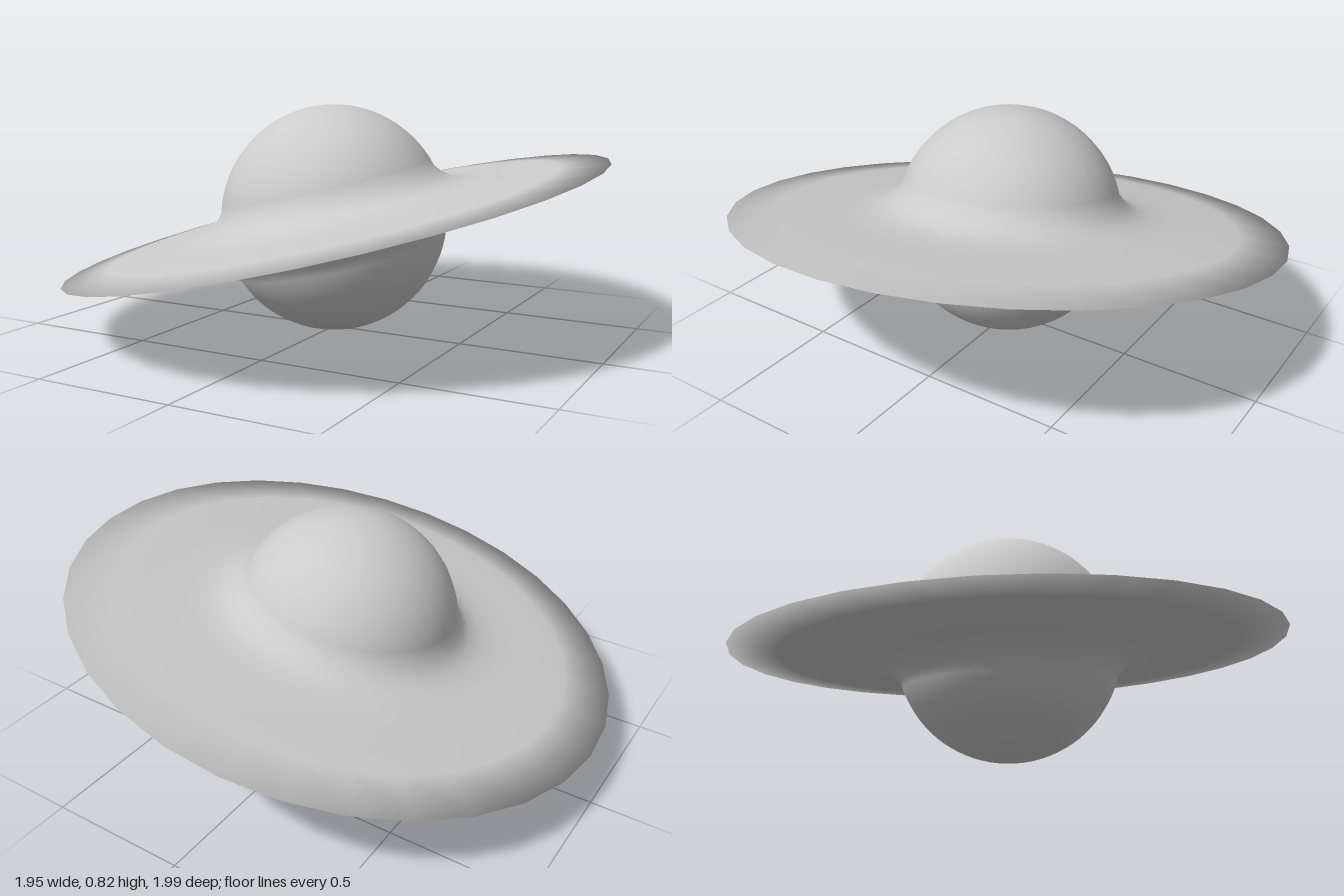
import * as THREE from 'three';

const R = 0.411;          // planet radius
const SIDES = 32;         // sides around the ring

// Upper half of the profile, from the ring's rim inward and up to the pole
function upperProfile() {
  // thin rim and flat ring
  const pts = [[1.0, 0], [0.83, 0.016], [0.74, 0.02], [0.64, 0.024]];
  // concave blend between ring and planet
  pts.push([0.56, 0.029], [0.5, 0.038], [0.455, 0.053], [0.424, 0.075]);
  // planet dome
  const start = 0.27, steps = 18;
  for (let i = 0; i <= steps; i++) {
    const a = start + (Math.PI / 2 - start) * i / steps;
    pts.push([i === steps ? 0 : R * Math.cos(a), R * Math.sin(a)]);
  }
  return pts;
}

export function createModel() {
  const group = new THREE.Group();
  group.name = 'ringedPlanet';

  const stone = new THREE.MeshStandardMaterial({ color: 0xcccccc });
  stone.name = 'pale grey';

  // Mirror the profile so planet and ring are one smooth closed surface
  const upper = upperProfile();
  const lower = upper.slice(1).reverse().map(([r, y]) => [r, -y]);
  const profile = [...lower, ...upper].map(([r, y]) => new THREE.Vector2(r, y));

  const planet = new THREE.Mesh(new THREE.LatheGeometry(profile, SIDES), stone);
  planet.name = 'planetWithRing';

  // Tilt the ring: its left side (+x) and its back are raised
  const axis = new THREE.Vector3(-0.219, 1, 0.078).normalize();
  planet.quaternion.setFromUnitVectors(new THREE.Vector3(0, 1, 0), axis);
  planet.position.y = R;
  group.add(planet);

  return group;
}
